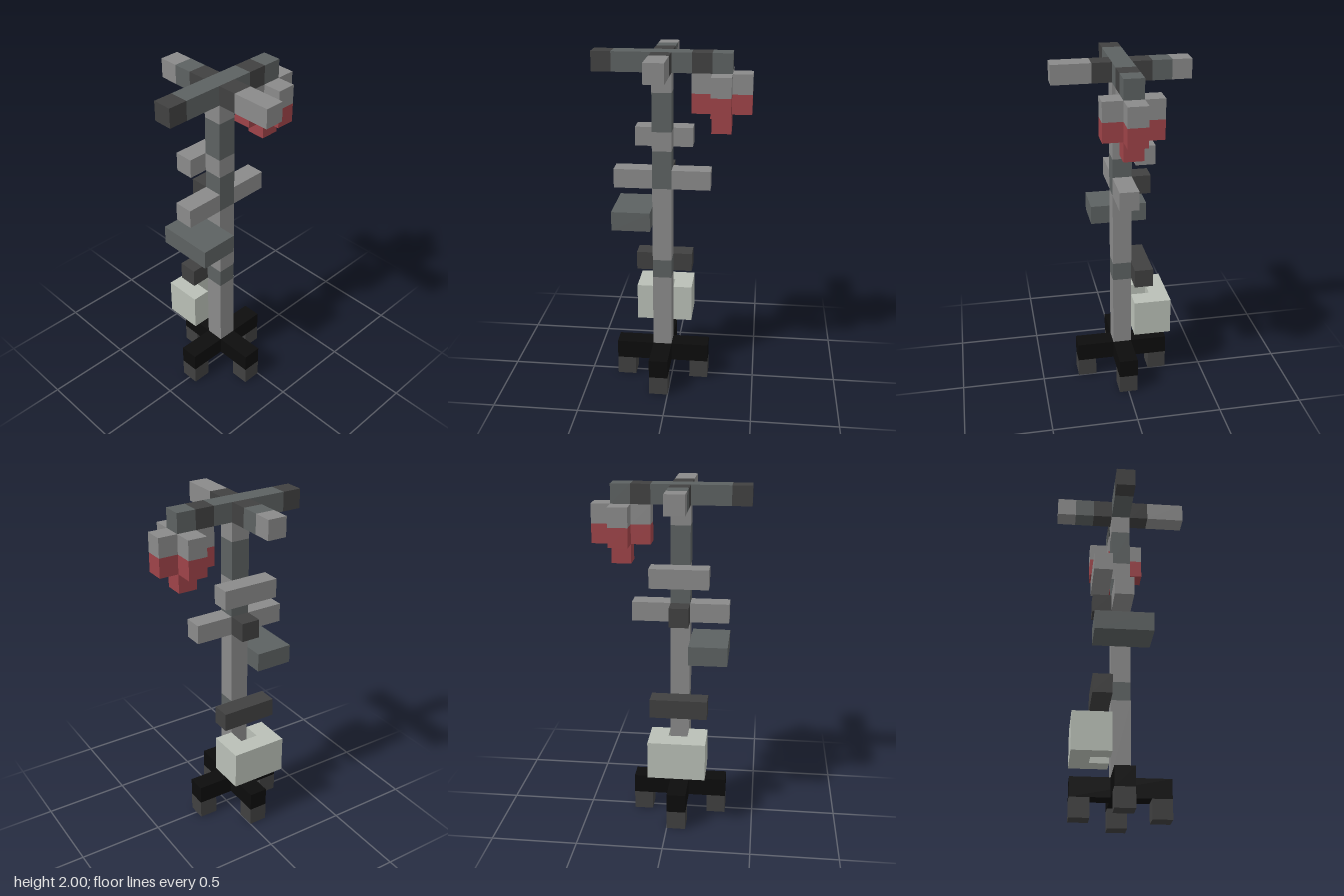
import * as THREE from 'three';

const U = 1 / 9; // edge of one block

const colour = (name, hex) => {
  const m = new THREE.MeshStandardMaterial({ color: hex });
  m.name = name;
  return m;
};

export function createModel() {
  const gray = colour('light gray', 0x8a8a8a);
  const slate = colour('slate gray', 0x5c6161);
  const charcoal = colour('charcoal', 0x404040);
  const black = colour('black', 0x0c0c0c);
  const red = colour('red', 0x9e4348);
  const pale = colour('pale green gray', 0xb9bfb6);

  const model = new THREE.Group();
  model.name = 'blockPost';

  // Box covering whole blocks: inclusive index ranges [first, last] on each axis.
  // Block x = 0 is centred on x = 0; block z = 0 starts at z = 0.
  const block = (name, material, [x0, x1], [y0, y1], [z0, z1], parent = model) => {
    const mesh = new THREE.Mesh(
      new THREE.BoxGeometry((x1 - x0 + 1) * U, (y1 - y0 + 1) * U, (z1 - z0 + 1) * U), material);
    mesh.position.set((x0 + x1) / 2 * U, (y0 + y1 + 1) / 2 * U, (z0 + z1 + 1) / 2 * U);
    mesh.name = name;
    parent.add(mesh);
  };
  const group = (name) => {
    const g = new THREE.Group();
    g.name = name;
    model.add(g);
    return g;
  };

  // Crossed base with a foot under each tip
  const base = group('base');
  block('baseBar', black, [-2, 2], [1, 1], [0, 0], base);
  for (const s of [-1, 1]) {
    const arm = s < 0 ? [-2, -1] : [1, 2];
    block('baseArm', black, [0, 0], [1, 1], arm, base);
    block('sideFoot', charcoal, [2 * s, 2 * s], [0, 0], [0, 0], base);
    block('endFoot', charcoal, [0, 0], [0, 0], [2 * s, 2 * s], base);
  }

  // Banded pole
  const pole = group('pole');
  const bands = [[2, 5, gray], [6, 6, slate], [7, 10, gray], [11, 12, slate],
    [13, 13, gray], [14, 15, slate], [16, 16, gray]];
  for (const [y0, y1, m] of bands) block('poleBand', m, [0, 0], [y0, y1], [0, 0], pole);

  // U-shaped box wrapped against the pole's right side
  const box = group('sideBox');
  block('boxBack', pale, [-2, -2], [3, 4], [-1, 1], box);
  for (const z of [-1, 1]) block('boxEnd', pale, [-1, -1], [3, 4], [z, z], box);

  // Rungs and shelf along the pole
  block('lowerRung', charcoal, [-1, -1], [6, 6], [-1, 1]);
  block('shelf', slate, [-1, 1], [9, 9], [1, 2]);
  block('middleRungFront', gray, [0, 0], [11, 11], [1, 2]);
  block('middleRungBack', gray, [0, 0], [11, 11], [-2, -1]);
  block('middleStub', charcoal, [-1, -1], [11, 11], [0, 0]);
  block('upperRung', gray, [-1, -1], [13, 13], [-1, 1]);

  // Crossed top arms
  const top = group('topArms');
  const sideArm = [[-3, -3, gray], [-2, -2, slate], [-1, -1, charcoal], [1, 1, charcoal], [2, 3, gray]];
  for (const [x0, x1, m] of sideArm) block('sideArm', m, [x0, x1], [17, 17], [0, 0], top);
  const longArm = [[-3, -3, slate], [-2, -2, charcoal], [-1, 2, slate], [3, 3, charcoal]];
  for (const [z0, z1, m] of longArm) block('longArm', m, [0, 0], [17, 17], [z0, z1], top);

  // Hanging lamp under the back arm: gray cap, red body, red tip
  const lamp = group('hangingLamp');
  for (const [y, m, name] of [[16, gray, 'lampCap'], [15, red, 'lampBody']]) {
    block(name, m, [-1, 1], [y, y], [-3, -3], lamp);
    for (const z of [-4, -2]) block(name, m, [0, 0], [y, y], [z, z], lamp);
  }
  block('lampTip', red, [0, 0], [14, 14], [-3, -3], lamp);

  return model;
}
